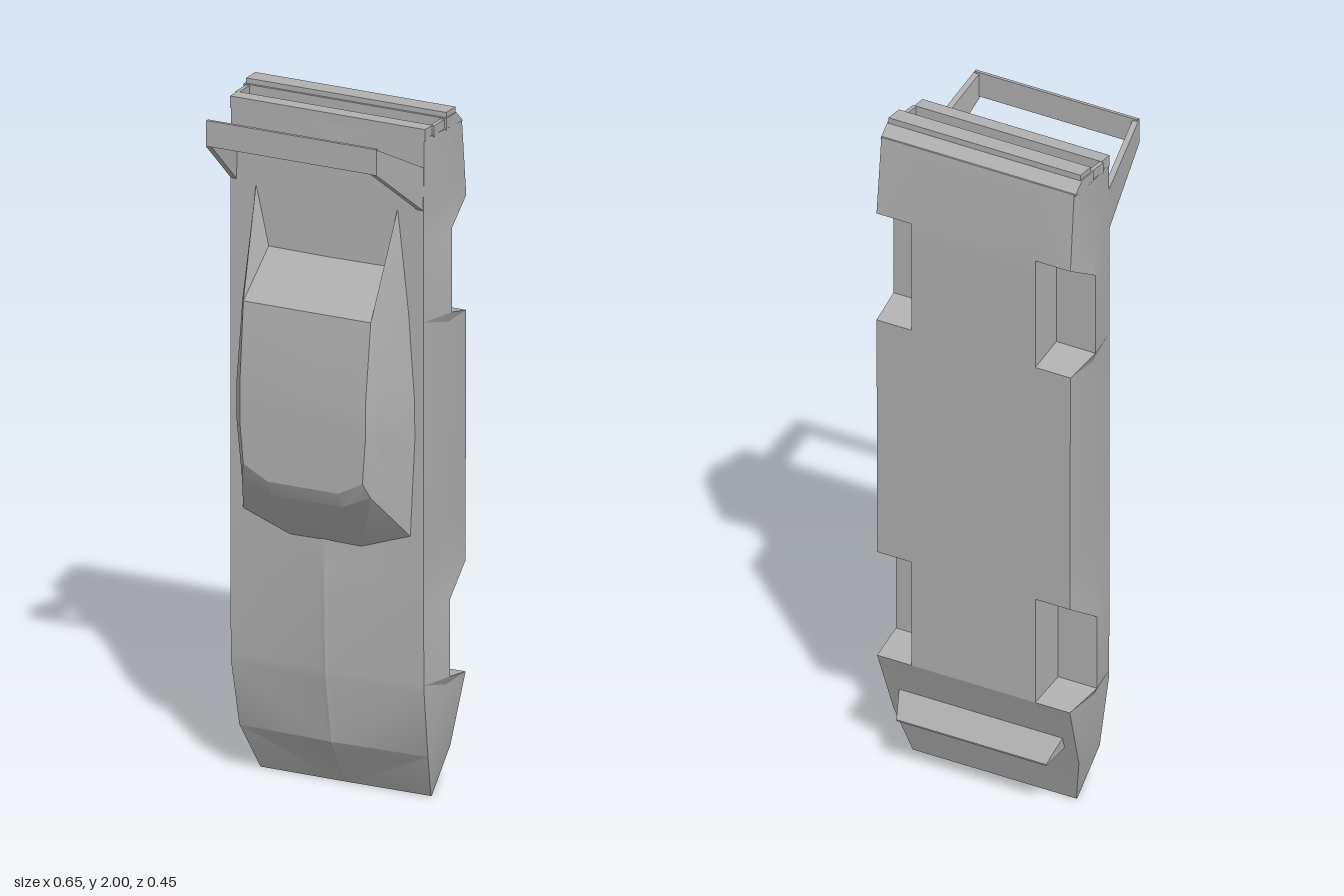
import * as THREE from 'three';
import { toCreasedNormals } from 'three/addons/utils/BufferGeometryUtils.js';

// Geometry from a list of triangles, each a triple of [x, y, z] corners
function fromTriangles(tris) {
  const g = new THREE.BufferGeometry();
  g.setAttribute('position', new THREE.Float32BufferAttribute(tris.flat(2), 3));
  return toCreasedNormals(g, 0.3);
}
const mirror = ([x, y, z]) => [-x, y, z];

// Box whose corners are placed by a rule on unit coordinates (-0.5..0.5)
function shapedBox(rule) {
  const g = new THREE.BoxGeometry(1, 1, 1).toNonIndexed();
  const p = g.attributes.position;
  for (let i = 0; i < p.count; i++) p.setXYZ(i, ...rule(p.getX(i), p.getY(i), p.getZ(i)));
  g.computeVertexNormals();
  return g;
}

// Body shell: rings along y; wells are cut into the lower flanks
function bodyGeometry() {
  const wellX = 0.2;
  // y, centre z, edge z, bottom z, edge x, waist x, bottom x, arch z (0 = no well)
  const sections = [
    [0.0, -0.097, -0.099, -0.105, 0.265, 0.265, 0.265, 0],
    [0.14, -0.018, -0.028, -0.148, 0.293, 0.3, 0.3, 0],
    [0.335, 0.016, 0.008, -0.215, 0.3, 0.314, 0.312, 0],
    [0.36, 0.018, 0.009, -0.215, 0.3, 0.326, 0.312, -0.095],
    [0.585, 0.025, 0.012, -0.215, 0.3, 0.326, 0.312, -0.095],
    [0.66, 0.024, 0.012, -0.215, 0.3, 0.314, 0.312, 0],
    [0.8, 0.018, 0.012, -0.215, 0.3, 0.313, 0.312, 0],
    [1.39, 0.014, 0.012, -0.215, 0.3, 0.316, 0.314, 0],
    [1.42, 0.014, 0.012, -0.215, 0.3, 0.327, 0.314, -0.105],
    [1.665, 0.014, 0.012, -0.215, 0.3, 0.327, 0.314, -0.105],
    [1.725, 0.013, 0.012, -0.215, 0.3, 0.318, 0.314, 0],
    [1.955, 0.008, 0.008, -0.193, 0.3, 0.316, 0.312, 0],
  ];
  const rings = sections.map(([y, zc, ze, zb, xe, xm, xb, arch], i) => {
    const waist = i < 2 ? (ze + zb) / 2 : (i < 7 ? -0.095 : -0.105);
    const crease = i > 0 && i < 6 ? 0.004 : 0;
    const half = [
      [0.015, y, zc], [xe, y, ze], [xm, y, waist],
      arch ? [wellX, y, arch] : [xb, y, zb], [wellX, y, zb],
    ];
    return [[0, y, zc + crease], ...half, ...half.slice().reverse().map(mirror)];
  });
  const tris = [];
  for (let i = 0; i + 1 < rings.length; i++) {
    const n = rings[i].length;
    const opening = sections[i + 1][7] !== 0;
    for (let j = 0; j < n; j++) {
      const k = (j + 1) % n;
      const a = rings[i][j], b = rings[i][k], c = rings[i + 1][k], d = rings[i + 1][j];
      // the diagonal follows the well walls on both flanks
      if (opening === (j < n / 2)) tris.push([a, b, d], [b, c, d]);
      else tris.push([a, b, c], [a, c, d]);
    }
  }
  const end = rings[rings.length - 1];
  for (let j = 1; j + 1 < end.length; j++) tris.push([end[0], end[j], end[j + 1]]);
  return fromTriangles(tris);
}

// Cabin: base, shoulder and roof edge at each station, with tapering rear buttresses
function cabinGeometry() {
  const tip = [0.22, 1.74, 0.013];
  const left = [
    [[0.11, 0.735, 0.015], [0.11, 0.89, 0.135], [0.11, 0.935, 0.155]],
    [[0.26, 0.79, 0.012], [0.2, 0.93, 0.135], [0.185, 0.975, 0.155]],
    [[0.275, 1.08, 0.01], [0.217, 1.1, 0.135], [0.195, 1.1, 0.157]],
    [[0.273, 1.2, 0.01], [0.217, 1.2, 0.135], [0.195, 1.2, 0.157]],
    [[0.255, 1.44, 0.01], [0.207, 1.44, 0.118], [0.198, 1.44, 0.13]],
    [tip, tip, tip],
  ];
  const stations = [...left.slice().reverse().map(s => s.map(mirror)), ...left];
  const tris = [];
  const quad = (a, b, c, d) => tris.push([a, b, c], [a, c, d]);
  const last = stations.length - 1;
  for (let i = 0; i < last; i++) {
    for (let r = 0; r < 2; r++)
      quad(stations[i][r], stations[i + 1][r], stations[i + 1][r + 1], stations[i][r + 1]);
  }
  // roof strips
  for (let i = 1; i < left.length - 1; i++)
    quad(stations[i][2], stations[i + 1][2], stations[last - i - 1][2], stations[last - i][2]);
  // rear window and inner faces of the buttresses
  const foot = [0.18, 1.57, 0.01], edge = left[4][2];
  quad(mirror(foot), mirror(edge), edge, foot);
  tris.push([tip, foot, edge], [mirror(tip), mirror(edge), mirror(foot)]);
  return fromTriangles(tris.filter(([a, b, c]) => a !== b && b !== c && a !== c));
}

export function createModel() {
  const group = new THREE.Group();
  const grey = new THREE.MeshStandardMaterial({ color: 0xb0b0b0 });
  grey.name = 'body grey';
  const add = (name, geometry) => {
    const mesh = new THREE.Mesh(geometry, grey);
    mesh.name = name;
    group.add(mesh);
    return mesh;
  };
  const box = (name, w, h, d, x, y, z) =>
    add(name, new THREE.BoxGeometry(w, h, d)).position.set(x, y, z);

  add('body', bodyGeometry());
  add('cabin', cabinGeometry());

  // Rear panel: frame around a recess, with a sloped lower edge
  const lower = new THREE.Shape([
    [-0.095, 1.95], [-0.193, 1.95], [-0.155, 1.985], [-0.095, 1.985],
  ].map(([z, y]) => new THREE.Vector2(-z, y)));
  const lowerPanel = new THREE.ExtrudeGeometry(lower, { depth: 0.63, bevelEnabled: false });
  lowerPanel.rotateY(Math.PI / 2).translate(-0.315, 0, 0);
  add('rearLowerPanel', lowerPanel);
  box('rearUpperLip', 0.606, 0.035, 0.043, 0, 1.9655, -0.0135);
  for (const s of [1, -1]) box('rearEndFrame', 0.012, 0.033, 0.062, s * 0.303, 1.9655, -0.065);
  box('rearBumper', 0.622, 0.02, 0.055, 0, 1.99, -0.13);

  // Rear wing on two raked struts
  for (const s of [1, -1]) {
    add('wingStrut', shapedBox((u, v, w) => w < 0
      ? [s * 0.291 + u * 0.018, v < 0 ? 1.74 : 1.868, 0.003]
      : [s * 0.256 + u * 0.018, v < 0 ? 1.91 : 1.985, 0.225]));
  }
  box('wing', 0.526, 0.075, 0.01, 0, 1.9475, 0.22);

  // Chin spoiler: a thin tapering blade under the nose
  add('chinSpoiler', shapedBox((u, v, w) => v > 0
    ? [u * 0.53, w > 0 ? 0.19 : 0.225, w > 0 ? -0.16 : -0.176]
    : [u * 0.485, w > 0 ? 0.153 : 0.158, w > 0 ? -0.226 : -0.227]));

  return group;
}
